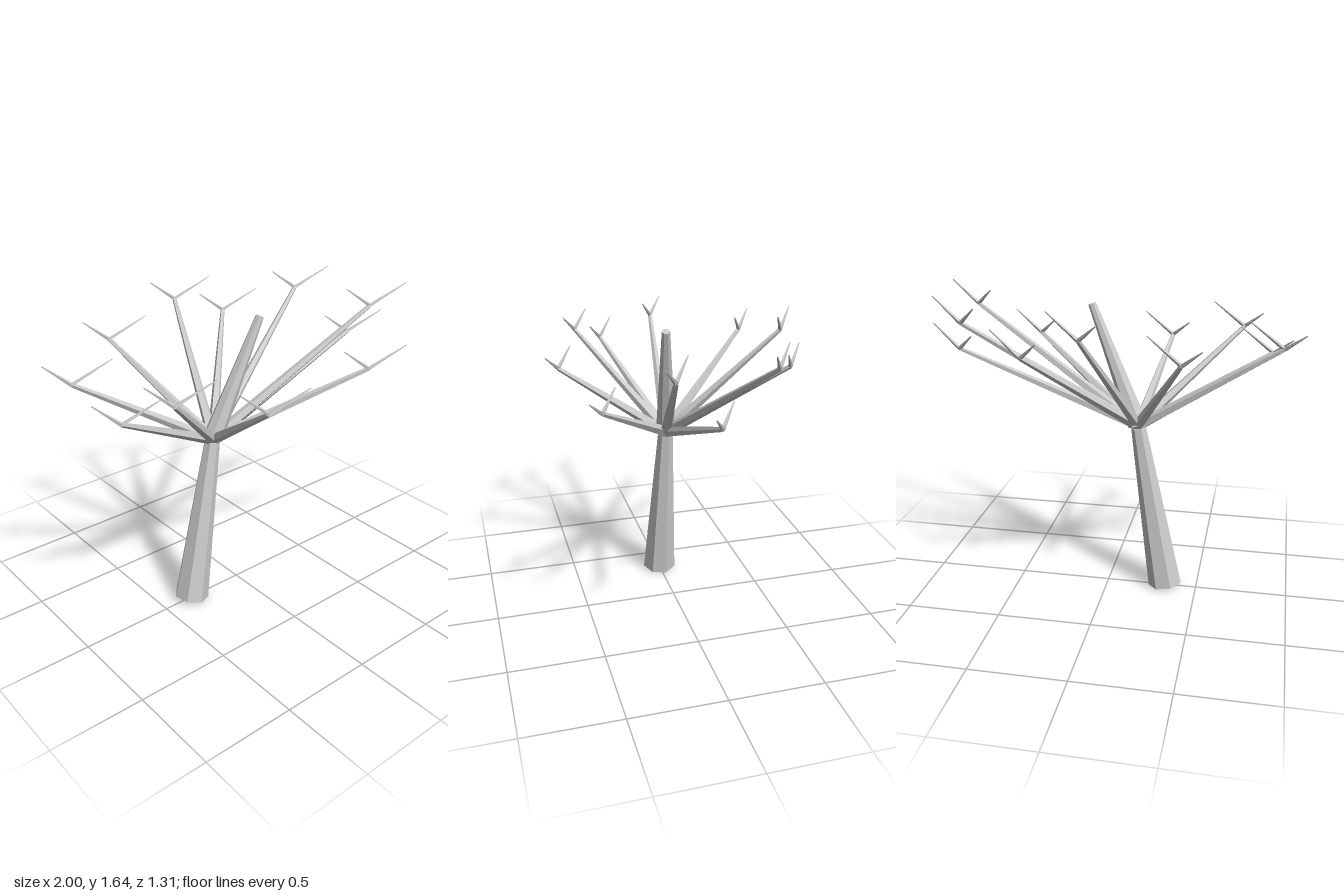
import * as THREE from 'three';

const material = new THREE.MeshStandardMaterial({ color: 0xcccccc, flatShading: true });
const UP = new THREE.Vector3(0, 1, 0);

// Tapered limb running from one point to another
function limb(name, from, to, r0, r1, sides) {
  const dir = to.clone().sub(from);
  const length = dir.length();
  const mesh = new THREE.Mesh(new THREE.CylinderGeometry(r1, r0, length, sides), material);
  mesh.name = name;
  mesh.position.copy(from).addScaledVector(dir, 0.5);
  mesh.quaternion.setFromUnitVectors(UP, dir.normalize());
  return mesh;
}

export function createModel() {
  const tree = new THREE.Group();
  tree.name = 'bareTree';

  // Leaning trunk and its thinner continuation
  const crown = new THREE.Vector3(-0.165, 0.935, 0);
  tree.add(limb('trunk', new THREE.Vector3(-0.327, 0.018, 0), crown, 0.095, 0.042, 7));
  tree.add(limb('upperTrunk', new THREE.Vector3(-0.16, 0.95, 0),
    new THREE.Vector3(0.1, 1.58, 0.065), 0.055, 0.022, 7));

  // Branch ends, going around the crown
  const ends = [
    [0.82, 1.32, 0], [0.77, 1.53, 0.2], [0.49, 1.32, 0.47], [-0.27, 1.32, 0.56],
    [-0.68, 1.42, 0.4], [-0.845, 1.32, 0.225], [-0.9, 1.42, -0.1], [-0.44, 1.42, -0.51],
    [0.03, 1.53, -0.572], [0.325, 1.42, -0.515], [0.69, 1.53, -0.307],
  ];
  // Every branch ends in the same fork of two twigs
  const twigs = [[-0.1, 0.09, -0.083], [0.175, 0.112, 0.088]];
  const root = new THREE.Vector3(-0.16, 0.945, 0);
  for (const [x, y, z] of ends) {
    const branch = new THREE.Group();
    branch.name = 'branch';
    const end = new THREE.Vector3(x, y, z);
    branch.add(limb('bough', root, end, 0.031, 0.012, 5));
    for (const t of twigs) {
      branch.add(limb('twig', end, end.clone().add(new THREE.Vector3(...t)), 0.011, 0.003, 4));
    }
    tree.add(branch);
  }
  return tree;
}
